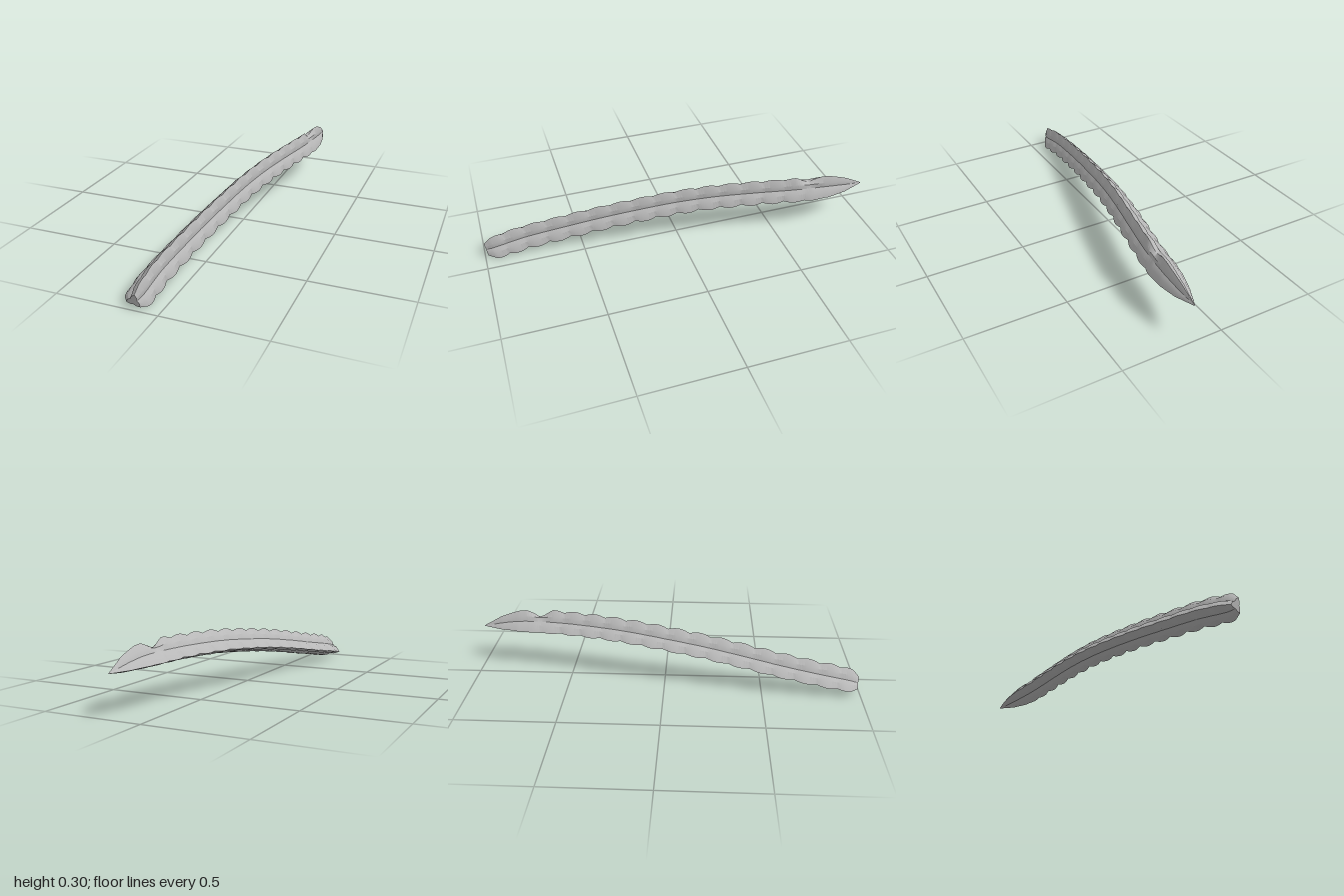
import * as THREE from 'three';
import { toCreasedNormals } from 'three/addons/utils/BufferGeometryUtils.js';

const RINGS = 162, BUMPS = 18, RADIUS = 0.078, TOP_RIB = 76;

// Centre line of the arched stem, from the pointed tip (back) to the cut end (front)
const spine = new THREE.CatmullRomCurve3([
  [0.147, 0.193, -1], [0.138, 0.216, -0.8], [0.115, 0.222, -0.6], [0.077, 0.222, -0.4],
  [0.035, 0.215, -0.2], [-0.005, 0.197, 0], [-0.037, 0.172, 0.2], [-0.07, 0.14, 0.4],
  [-0.1, 0.104, 0.6], [-0.122, 0.07, 0.8], [-0.124, 0.034, 0.985],
].map(p => new THREE.Vector3(...p)));

// Half section of one rib: angle from the crest, radius, share of the scallop
const RIB = [[0, 1, 1], [28, 0.65, 0.6], [60, 0.41, 0.15], [92, 0.65, 0.6]];

// Piecewise-linear taper along z
const TAPER = [[-1, 0.03], [-0.9, 0.56], [-0.8, 0.88], [-0.7, 1], [0.9, 1], [0.95, 0.88], [0.985, 0.6], [1.1, 0.6]];
function taper(z) {
  for (let i = 1; i < TAPER.length; i++) {
    const [z0, r0] = TAPER[i - 1], [z1, r1] = TAPER[i];
    if (z <= z1) return THREE.MathUtils.lerp(r0, r1, Math.max(0, (z - z0) / (z1 - z0)));
  }
  return 0.6;
}

// One cross-section: three ribs with scalloped crests, square to the spine
function ring(t) {
  const c = spine.getPoint(t), T = spine.getTangent(t);
  const up = new THREE.Vector3(0, 1, 0).addScaledVector(T, -T.y).normalize();
  const side = new THREE.Vector3().crossVectors(up, T);
  const fade = THREE.MathUtils.smoothstep(c.z, -0.85, -0.5);
  const scallop = 0.16 * fade * (1 - Math.abs(Math.sin(Math.PI * BUMPS * t)));
  // Bite taken out of the top rib near the tip
  const bite = 0.5 * Math.max(0, 1 - Math.abs(c.z + 0.69) / 0.07);
  const pts = [];
  for (let k = 0; k < 3; k++) {
    for (const [angle, r, share] of RIB) {
      const a = THREE.MathUtils.degToRad(TOP_RIB + 120 * k + angle);
      const onTop = (k === 0 && angle < 30) || (k === 2 && angle > 90);
      const cut = (1 - scallop * share) * (onTop ? 1 - bite * (angle === 0 ? 1 : 0.4) : 1);
      const R = RADIUS * taper(c.z) * r * cut;
      pts.push(c.clone().addScaledVector(side, R * Math.cos(a)).addScaledVector(up, R * Math.sin(a)));
    }
  }
  return pts;
}

function buildStem() {
  const rings = [];
  for (let i = 0; i <= RINGS; i++) rings.push(ring(i / RINGS));
  const n = rings[0].length, pos = [], index = [];
  rings.flat().forEach(p => pos.push(p.x, p.y, p.z));
  for (let i = 0; i < RINGS; i++) {
    for (let j = 0; j < n; j++) {
      const k = (j + 1) % n;
      const a = i * n + j, b = i * n + k, c = b + n, d = a + n;
      index.push(a, b, c, a, c, d);
    }
  }
  // Close both ends with fans
  const tip = pos.length / 3, end = tip + 1;
  pos.push(...spine.getPoint(0).toArray(), ...spine.getPoint(1).toArray());
  for (let j = 0; j < n; j++) {
    const k = (j + 1) % n;
    index.push(tip, k, j, end, RINGS * n + j, RINGS * n + k);
  }
  const g = new THREE.BufferGeometry();
  g.setAttribute('position', new THREE.Float32BufferAttribute(pos, 3));
  g.setIndex(index);
  // Stand on the ground, centred
  g.computeBoundingBox();
  const { min, max } = g.boundingBox;
  g.translate(-(min.x + max.x) / 2, -min.y, -(min.z + max.z) / 2);
  return toCreasedNormals(g, 0.5);
}

export function createModel() {
  const group = new THREE.Group();
  group.name = 'ribbedStem';
  const grey = new THREE.MeshStandardMaterial({ color: 0xb8b8b8 });
  grey.name = 'light grey';
  const stem = new THREE.Mesh(buildStem(), grey);
  stem.name = 'stem';
  group.add(stem);
  return group;
}
